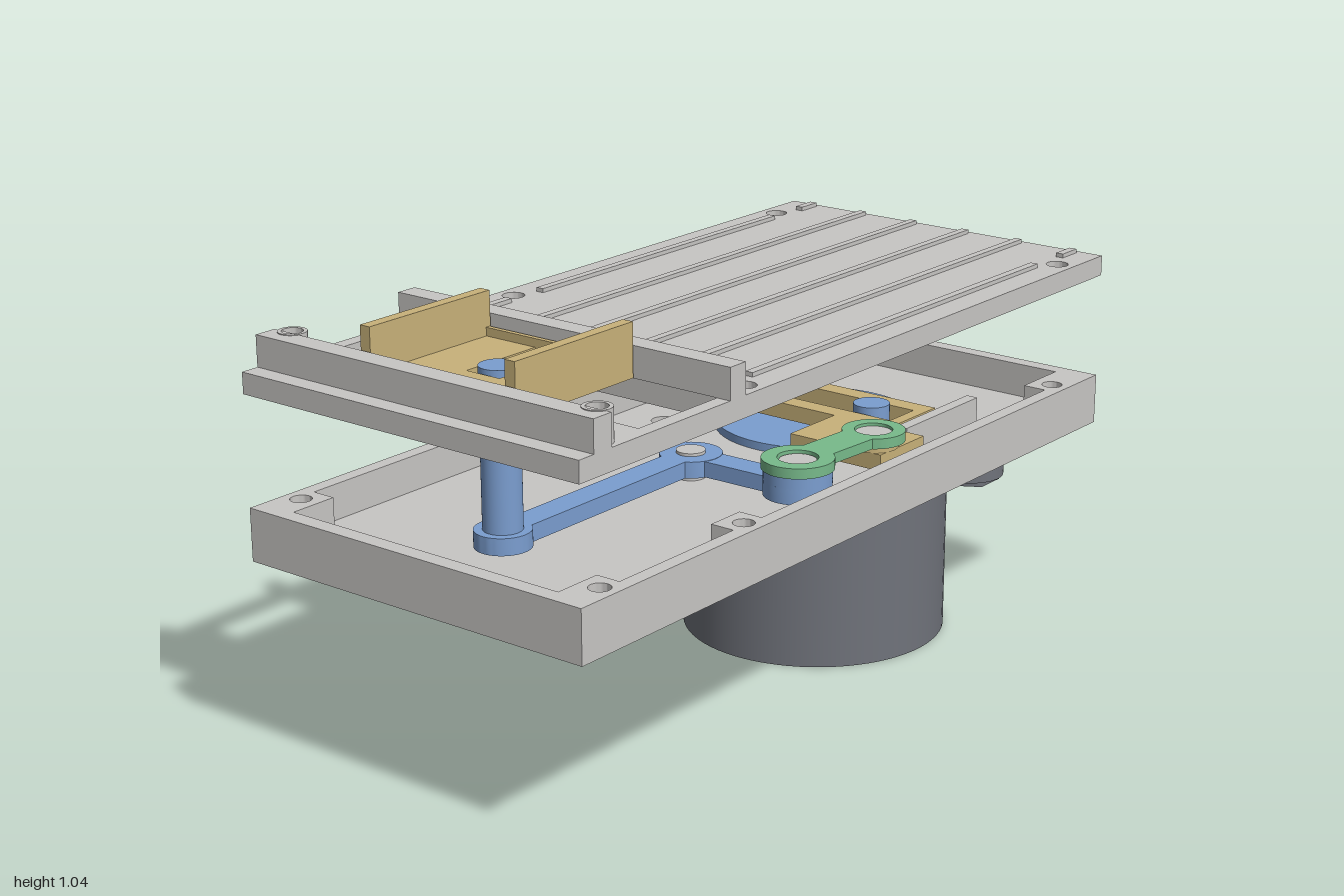
import * as THREE from 'three';
import { toCreasedNormals } from 'three/addons/utils/BufferGeometryUtils.js';

const mat = (name, color) => {
  const m = new THREE.MeshStandardMaterial({ color });
  m.name = name;
  return m;
};

export function createModel() {
  const root = new THREE.Group();
  const grey = mat('light grey', 0xc8c6c4);
  const tan = mat('tan', 0xc9b27a);
  const blue = mat('blue', 0x7b9ed0);
  const green = mat('green', 0x78ba8b);
  const dark = mat('dark grey', 0x70737b);

  const add = (name, geo, m) => {
    const mesh = new THREE.Mesh(geo, m);
    mesh.name = name;
    root.add(mesh);
    return mesh;
  };
  // Box from its limits
  const box = (name, m, x0, x1, y0, y1, z0, z1) =>
    add(name, new THREE.BoxGeometry(x1 - x0, y1 - y0, z1 - z0)
      .translate((x0 + x1) / 2, (y0 + y1) / 2, (z0 + z1) / 2), m);
  // Upright cylinder
  const cyl = (name, m, x, z, r, y0, y1, sides = 48) =>
    add(name, new THREE.CylinderGeometry(r, r, y1 - y0, sides)
      .translate(x, (y0 + y1) / 2, z), m);
  // Shapes lie in plan: shape x, y become model x, z
  const poly = pts => pts.map(p => new THREE.Vector2(...p));
  const rect = (x0, x1, z0, z1) => poly([[x0, z0], [x1, z0], [x1, z1], [x0, z1]]);
  const circle = (x, z, r) => new THREE.Path().absarc(x, z, r, 0, Math.PI * 2);
  const slab = (name, m, shape, holes, y0, y1) => {
    shape.holes.push(...holes);
    const geo = new THREE.ExtrudeGeometry(shape, { depth: y1 - y0, bevelEnabled: false, curveSegments: 24 });
    geo.rotateX(Math.PI / 2).translate(0, y1, 0);
    return add(name, toCreasedNormals(geo, 0.6), m);
  };
  // Flat link with round ends and a waist of half width w
  const link = (name, m, [px, pz], [qx, qz], rp, rq, w, holes, y0, y1) => {
    const a = Math.atan2(qz - pz, qx - px);
    const s = new THREE.Shape();
    const ap = Math.asin(w / rp), aq = Math.asin(w / rq);
    s.absarc(px, pz, rp, a + ap, a + Math.PI * 2 - ap);
    s.absarc(qx, qz, rq, a - Math.PI + aq, a + Math.PI - aq);
    s.closePath();
    return slab(name, m, s, holes, y0, y1);
  };

  const screws = [[-0.43, -0.86], [0.43, -0.86], [-0.43, 0.18], [0.43, 0.41], [-0.43, 0.89], [0.43, 0.89]];
  const ears = [[0.315, -0.66], [-0.315, -0.24]];
  const outline = () => new THREE.Shape(rect(-0.475, 0.475, -1, 1));
  const screwHoles = r => screws.map(([x, z]) => circle(x, z, r));

  // Tray: floor and a wall with screw bosses
  slab('trayFloor', grey, outline(), ears.map(([x, z]) => circle(x, z, 0.032)), 0.475, 0.515);
  const cavity = new THREE.Path(poly([
    [-0.38, 0.96], [0.38, 0.96], [0.38, 0.84], [0.44, 0.84], [0.44, 0.46], [0.38, 0.46], [0.38, 0.36],
    [0.44, 0.36], [0.44, -0.81], [0.38, -0.81], [0.38, -0.96], [-0.38, -0.96], [-0.38, -0.81],
    [-0.44, -0.81], [-0.44, 0.13], [-0.38, 0.13], [-0.38, 0.23], [-0.44, 0.23], [-0.44, 0.84], [-0.38, 0.84],
  ]));
  slab('trayWall', grey, outline(), [cavity, ...screwHoles(0.025)], 0.515, 0.6);

  // Motor with two mounting ears
  cyl('motor', dark, 0, -0.45, 0.33, 0, 0.475, 72);
  for (const [x, z] of ears) {
    link('motorEar', dark, [x, z], [x * 0.6, -0.45 + (z + 0.45) * 0.6], 0.09, 0.09, 0.089, [], 0.4, 0.475);
    cyl('earNut', dark, x, z, 0.08, 0.385, 0.4, 6);
    cyl('earScrew', grey, x, z, 0.024, 0.383, 0.49, 24);
  }

  // Crank wheel, pin and sliding yoke between guides
  cyl('crankWheel', blue, 0, -0.45, 0.25, 0.51, 0.535, 64);
  cyl('crankPin', blue, 0.16, -0.46, 0.045, 0.535, 0.6, 32);
  slab('yoke', tan, new THREE.Shape(rect(-0.28, 0.28, -0.56, -0.36)),
    [new THREE.Path(rect(-0.25, 0.25, -0.51, -0.41))], 0.545, 0.585);
  box('yokeArm', tan, 0.12, 0.38, 0.545, 0.585, -0.36, -0.18);
  cyl('yokeBoss', tan, 0.325, -0.23, 0.06, 0.585, 0.6, 32);
  for (const s of [-1, 1]) {
    box('yokeGuide', grey, s * 0.31 - 0.015, s * 0.31 + 0.015, 0.51, 0.59, -0.68, -0.37);
  }

  // Bell crank turning on a fixed pivot
  const pivot = [0, 0.05], end = [0.305, 0.043], front = [0, 0.705], tail = [0.325, -0.23];
  link('crankLongArm', blue, pivot, front, 0.075, 0.065, 0.035, [], 0.535, 0.575);
  link('crankShortArm', blue, pivot, end, 0.074, 0.08, 0.035, [], 0.536, 0.574);
  cyl('crankPivot', grey, ...pivot, 0.035, 0.51, 0.582, 32);
  cyl('crankEndBoss', blue, ...end, 0.08, 0.57, 0.6);
  cyl('drivePost', blue, ...front, 0.045, 0.56, 0.945);

  // Connecting link with pins
  link('connectingLink', green, end, tail, 0.085, 0.075, 0.045,
    [circle(...end, 0.048), circle(...tail, 0.045)], 0.6, 0.625);
  for (const p of [end, tail]) cyl('linkPin', grey, ...p, 0.044, 0.56, 0.618, 32);

  // Upper plate with window, ribs, rails and posts
  slab('topPlate', grey, outline(),
    [new THREE.Path(rect(-0.44, 0.44, 0.515, 0.775)), ...screwHoles(0.027)], 0.86, 0.91);
  const rib = (x, z0, z1) => box('rib', grey, x - 0.01, x + 0.01, 0.908, 0.92, z0, z1);
  for (const x of [-0.24, -0.08, 0.08, 0.24]) rib(x, -0.985, 0.43);
  for (const x of [-0.4, 0.4]) rib(x, -0.985, -0.92);
  rib(-0.4, -0.8, 0.12);
  rib(-0.4, 0.23, 0.43);
  rib(0.4, -0.8, 0.355);
  box('backRail', grey, -0.475, 0.475, 0.91, 0.983, 0.465, 0.518);
  box('frontRail', grey, -0.475, 0.475, 0.91, 0.983, 0.9, 0.955);
  for (const x of [-0.43, 0.43]) {
    slab('post', grey, new THREE.Shape().absarc(x, 0.89, 0.033, 0, Math.PI * 2),
      [circle(x, 0.89, 0.024)], 0.9, 0.985);
  }

  // Sliding carriage
  slab('carriageBase', tan, new THREE.Shape(rect(-0.2, 0.2, 0.525, 0.89)),
    [new THREE.Path(rect(-0.047, 0.047, 0.532, 0.755))], 0.912, 0.935);
  for (const s of [-1, 1]) {
    box('carriageSide', tan, s * 0.204 - 0.014, s * 0.204 + 0.014, 0.912, 1.037, 0.522, 0.895);
  }
  for (const z of [0.53, 0.885]) box('carriageLip', tan, -0.19, 0.19, 0.915, 0.955, z - 0.006, z + 0.006);

  return root;
}
